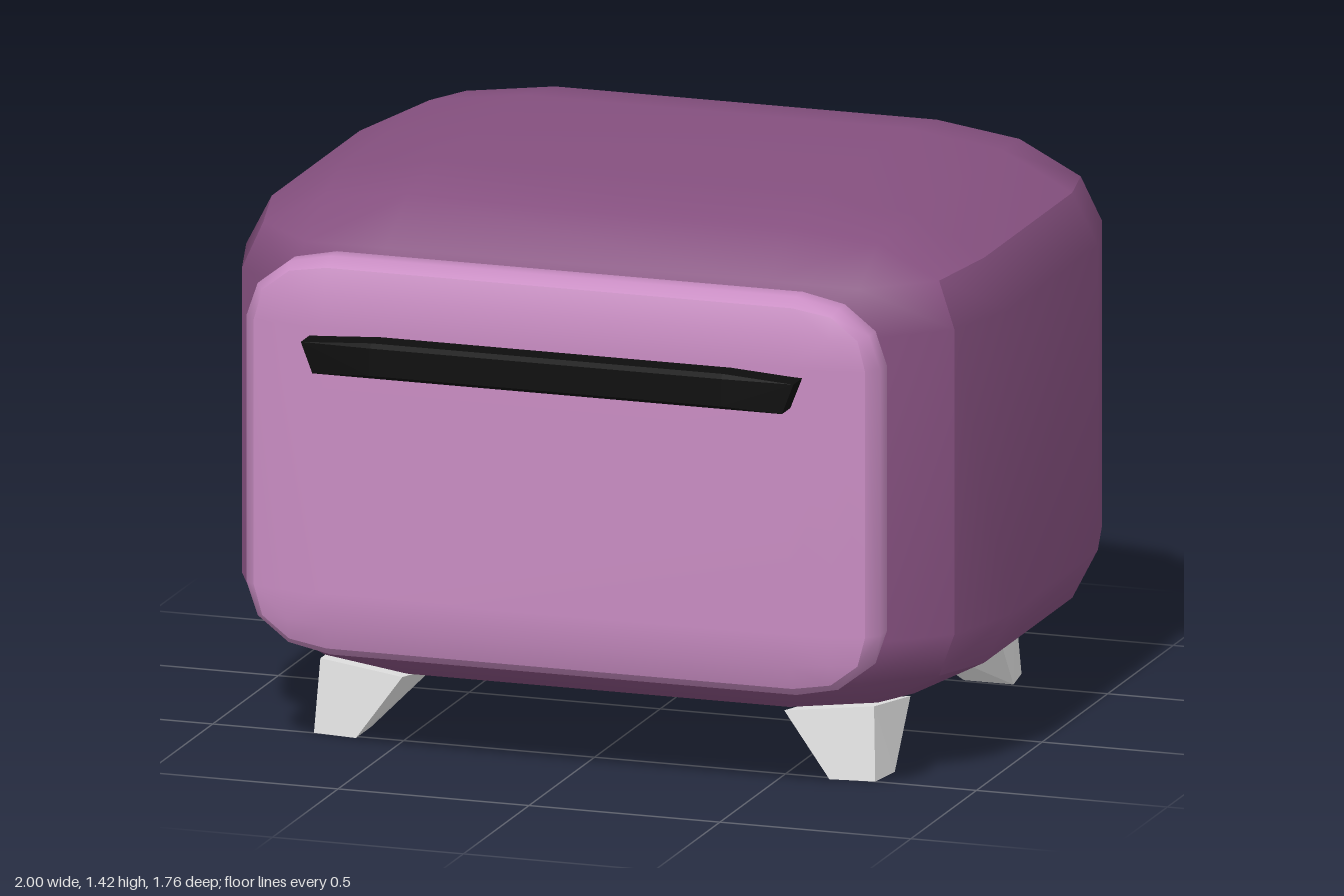
import * as THREE from 'three';
import { ConvexGeometry } from 'three/addons/geometries/ConvexGeometry.js';
import { mergeVertices, mergeGeometries } from 'three/addons/utils/BufferGeometryUtils.js';

const V = (x, y, z) => new THREE.Vector3(x, y, z);
const SIGNS = [-1, 1];

// Area-weighted smooth normals on the positions of a triangle list
function smooth(positions) {
  const g = new THREE.BufferGeometry();
  g.setAttribute('position', new THREE.Float32BufferAttribute(positions, 3));
  const m = mergeVertices(g, 1e-4);
  m.computeVertexNormals();
  return m;
}

// Directions of one rounded corner: three-step arcs plus three inner points
function cornerDirections() {
  const dirs = [];
  for (let axis = 0; axis < 3; axis++) {
    const put = (a, b, c) => {
      const d = [0, 0, 0];
      d[axis] = a; d[(axis + 1) % 3] = b; d[(axis + 2) % 3] = c;
      dirs.push(V(...d));
    };
    put(1, 0, 0);
    put(0.866, 0.5, 0);
    put(0.866, 0, 0.5);
    put(0.77, 0.45, 0.45);
  }
  return dirs;
}

// Box with elliptical edges; the faces around one axis are split off by a crease
function roundedBox(half, radius, creaseAxis, creaseLimit) {
  const core = half.clone().sub(radius);
  const points = [];
  for (const sx of SIGNS) for (const sy of SIGNS) for (const sz of SIGNS) {
    for (const d of cornerDirections()) {
      points.push(d.clone().multiply(radius).add(core).multiply(V(sx, sy, sz)));
    }
  }
  const pos = new ConvexGeometry(points).attributes.position;
  const cap = [], rest = [];
  for (let i = 0; i < pos.count; i += 3) {
    let sum = 0;
    for (let k = 0; k < 3; k++) sum += Math.abs(pos.getComponent(i + k, creaseAxis));
    const d = (sum / 3 - core.getComponent(creaseAxis)) / radius.getComponent(creaseAxis);
    const target = d > creaseLimit ? cap : rest;
    for (let k = 0; k < 3; k++) target.push(pos.getX(i + k), pos.getY(i + k), pos.getZ(i + k));
  }
  return mergeGeometries([smooth(cap), smooth(rest)]);
}

export function createModel() {
  const group = new THREE.Group();
  const material = (name, color) => {
    const m = new THREE.MeshStandardMaterial({ color });
    m.name = name;
    return m;
  };
  const purple = material('purple', 0x85507f);
  const pink = material('pink', 0xc88cc2);
  const black = material('black', 0x0d0d0d);
  const white = material('white', 0xe2e2e2);

  const add = (name, geometry, mat) => {
    const mesh = new THREE.Mesh(geometry, mat);
    mesh.name = name;
    group.add(mesh);
    return mesh;
  };

  // Oven body
  add('body', roundedBox(V(1, 0.647, 0.79), V(0.5, 0.257, 0.455), 0, 0.82), purple)
    .position.set(0, 0.777, -0.09);

  // Front door
  add('door', roundedBox(V(0.83, 0.51, 0.085), V(0.22, 0.17, 0.06), 2, 0.48), pink)
    .position.set(0, 0.78, 0.713);

  // Door handle, slightly bowed at the front
  const handle = [];
  for (const s of SIGNS) {
    for (const z of [0.78, 0.862]) {
      handle.push(V(s * 0.46, 1.11, z), V(s * 0.645, 1.098, z), V(s * 0.615, 1.02, z));
    }
    handle.push(V(s * 0.46, 1.1, 0.876), V(s * 0.46, 1.03, 0.876));
  }
  add('handle', new ConvexGeometry(handle), black);

  // Tapered feet under the four lower corners
  for (const sx of SIGNS) for (const sz of SIGNS) {
    const foot = [
      [0.5, 0.13, 0.335], [0.75, 0.165, 0.335], [0.5, 0.165, 0.57], [0.725, 0.187, 0.54],
      [0.62, 0, 0.455], [0.75, 0, 0.455], [0.62, 0, 0.575], [0.735, 0, 0.56],
    ].map(([x, y, z]) => V(sx * x, y, sz * z - 0.055 - 0.005 * (sz < 0 ? 0 : 1)));
    add((sz > 0 ? 'front' : 'back') + (sx > 0 ? 'Left' : 'Right') + 'Foot', new ConvexGeometry(foot), white);
  }
  return group;
}
